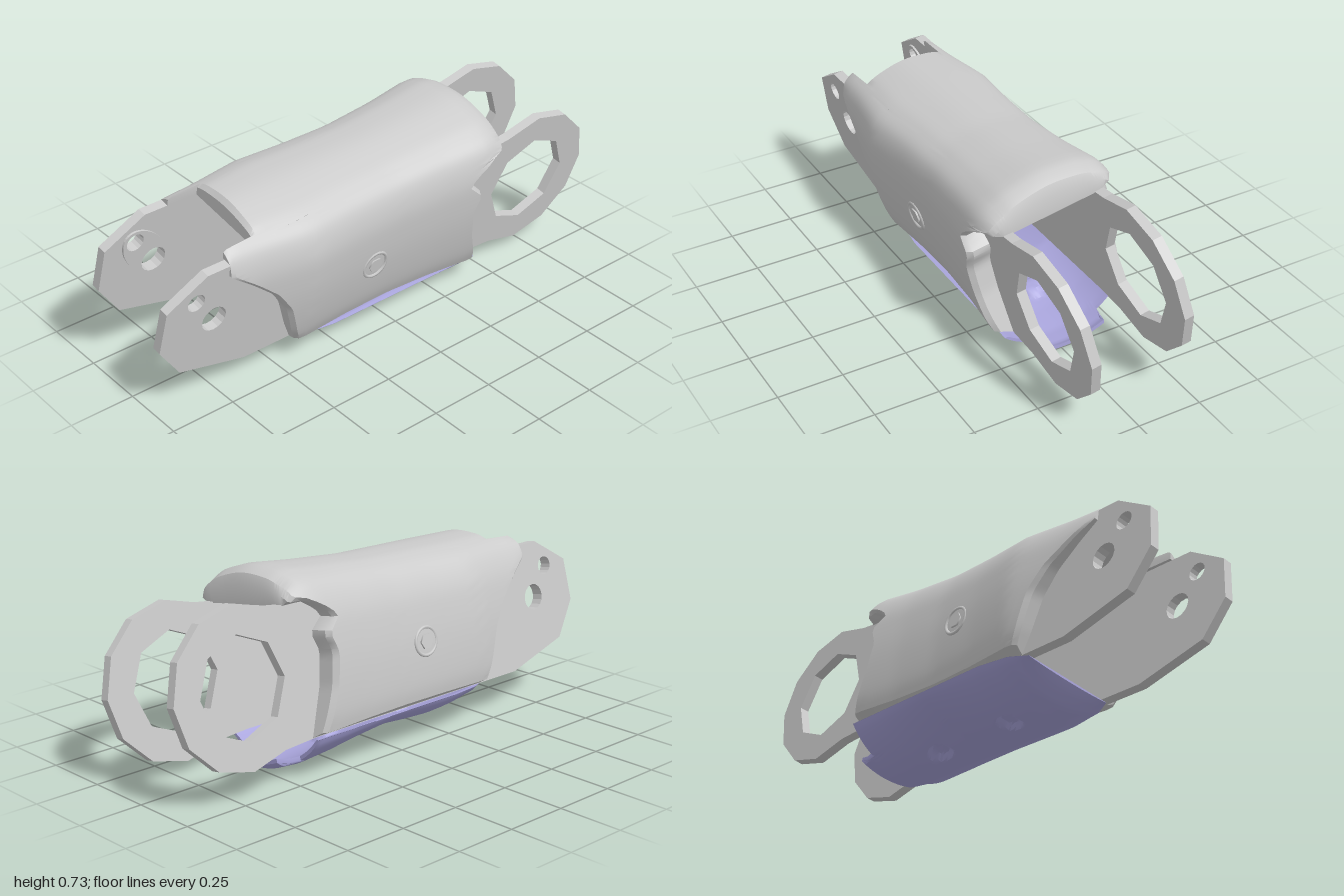
import * as THREE from 'three';
import { toCreasedNormals } from 'three/addons/utils/BufferGeometryUtils.js';

const U0 = -0.0625;      // centre line between the plates
const HALF = 0.2025;     // half distance over the plates
const FLOOR = 0.125;     // lower edge of the shell

const lerp = THREE.MathUtils.lerp;
const clamp = THREE.MathUtils.clamp;

// piecewise linear lookup in [key, value] pairs with rising keys
function table(pairs, k) {
  if (k <= pairs[0][0]) return pairs[0][1];
  for (let i = 1; i < pairs.length; i++) {
    const [k0, v0] = pairs[i - 1], [k1, v1] = pairs[i];
    if (k <= k1) return lerp(v0, v1, (k - k0) / (k1 - k0));
  }
  return pairs[pairs.length - 1][1];
}

// closed band of outer and inner sections, each column running from front(a) to back(a)
function band({ nu, nv, outer, inner, front, back }) {
  const pos = [], idx = [], rows = 2 * (nv + 1);
  for (let i = 0; i <= nu; i++) {
    const a = -1 + 2 * i / nu, zf = front(a), zb = back(a);
    for (let r = 0; r < rows; r++) {
      const isOuter = r <= nv, j = isOuter ? r : rows - 1 - r;
      const end = j === 0 || j === nv;
      const z = j === 0 ? zf : j === nv ? zb : lerp(zf - 0.015, zb + 0.015, (j - 1) / (nv - 2));
      const o = outer(a, z), n = inner(a, z);
      const f = isOuter ? (end ? 0.25 : 0) : 1;
      pos.push(U0 + lerp(o[0], n[0], f), lerp(o[1], n[1], f), z);
    }
  }
  for (let i = 0; i < nu; i++) for (let r = 0; r < rows; r++) {
    const s = (r + 1) % rows, a = i * rows, b = a + rows;
    idx.push(a + r, b + r, a + s, b + r, b + s, a + s);
  }
  const g = new THREE.BufferGeometry();
  g.setAttribute('position', new THREE.Float32BufferAttribute(pos, 3));
  g.setIndex(idx);
  return toCreasedNormals(g, 0.6);
}

function circle(z, v, r, n, turn = 0) {
  const pts = [];
  for (let k = 0; k < n; k++) {
    const t = turn + k / n * Math.PI * 2;
    pts.push(new THREE.Vector2(z + r * Math.cos(t), v + r * Math.sin(t)));
  }
  return new THREE.Path(pts);
}

// shape drawn in (z, height), thickened towards -x
function slab(shape, depth) {
  const g = new THREE.ExtrudeGeometry(shape, { depth, bevelEnabled: false, curveSegments: 20 });
  return g.rotateY(-Math.PI / 2);
}

export function createModel() {
  const model = new THREE.Group();
  const body = new THREE.Group();
  body.name = 'linkBody';
  body.rotation.z = -THREE.MathUtils.degToRad(10);
  model.add(body);
  const grey = new THREE.MeshStandardMaterial({ color: 0xcccccc, side: THREE.DoubleSide });
  const lilac = new THREE.MeshStandardMaterial({ color: 0xaaa6dd, side: THREE.DoubleSide });
  const add = (geo, name, mat = grey, x = 0, y = 0, z = 0) => {
    const m = new THREE.Mesh(geo, mat);
    m.name = name;
    m.position.set(x, y, z);
    body.add(m);
    return m;
  };

  // side plates: angular front end, straight web, faceted ring at the back
  const cz = -0.705, cv = 0.366;
  const outline = [[0.63, 0.123], [0.91, 0.2], [1, 0.336], [0.98, 0.503], [0.82, 0.6], [-0.42, 0.6]];
  for (let deg = 60; deg <= 300; deg += 30) {
    const t = THREE.MathUtils.degToRad(deg);
    outline.push([cz + 0.295 * Math.cos(t), cv + 0.29 * Math.sin(t)]);
  }
  outline.push([-0.42, 0.123]);
  const plate = new THREE.Shape(outline.map(p => new THREE.Vector2(...p)));
  const pinHoles = () => [circle(0.86, 0.498, 0.035, 16), circle(0.78, 0.387, 0.05, 16)];
  plate.holes.push(circle(cz, cv, 0.185, 8), ...pinHoles());
  const plateGeo = slab(plate, 0.037);
  add(plateGeo, 'leftPlate', grey, 0.14);
  add(plateGeo, 'rightPlate', grey, -0.228);

  // thin pad round the pin holes, inside the right plate
  const pad = new THREE.Shape();
  pad.absellipse(0.815, 0.435, 0.125, 0.072, 0, Math.PI * 2, false, 0.94);
  pad.holes.push(...pinHoles());
  add(slab(pad, 0.009), 'pinPad', grey, -0.22);

  // shell: arch over the plates, waisted in the middle
  const half = [[0.88, 0], [0.95, 0.12], [1, 0.35], [1, 0.55], [0.96, 0.72], [0.83, 0.865], [0.57, 0.95], [0.3, 0.985]];
  const arch = new THREE.CatmullRomCurve3([
    ...half.map(([u, v]) => new THREE.Vector3(-u, v, 0)),
    new THREE.Vector3(0, 1, 0),
    ...half.slice().reverse().map(([u, v]) => new THREE.Vector3(u, v, 0)),
  ]);
  const widths = [[-0.5, 0.285], [-0.39, 0.295], [-0.2, 0.272], [0, 0.26], [0.2, 0.265], [0.4, 0.28], [0.6, 0.25], [0.73, 0.24]];
  const tops = [[-0.5, 0.7], [-0.47, 0.73], [-0.43, 0.741], [-0.25, 0.72], [0, 0.698], [0.4, 0.688], [0.73, 0.68]];
  const shellOuter = (a, z) => {
    if (Math.abs(a) === 1) return [a * HALF, FLOOR];
    const p = arch.getPointAt((a + 1) / 2);
    return [p.x * table(widths, z), lerp(FLOOR, table(tops, z), p.y)];
  };
  const shellInner = (a, z) => {
    const [u, v] = shellOuter(a, z);
    return [clamp(u, -HALF, HALF), Math.min(v, 0.605)];
  };
  const frontEdge = [[0.125, 0.43], [0.2, 0.46], [0.33, 0.5], [0.42, 0.56], [0.5, 0.65], [0.56, 0.73]];
  const backEdge = [[0.125, -0.43], [0.3, -0.37], [0.42, -0.35], [0.49, -0.38], [0.55, -0.32], [0.59, -0.38], [0.64, -0.49], [0.7, -0.5]];
  add(band({
    nu: 96, nv: 28, outer: shellOuter, inner: shellInner,
    front: a => {
      const [u, v] = shellOuter(a, 0.6);
      return Math.abs(u) < 0.165 ? 0.61 : table(frontEdge, v);
    },
    back: a => table(backEdge, shellOuter(a, -0.4)[1]),
  }), 'shell');

  // side screws with a raised rim and a hexagonal head
  for (const s of [-1, 1]) {
    const x = U0 + s * 0.262;
    add(new THREE.TorusGeometry(0.052, 0.007, 6, 24).rotateY(Math.PI / 2), 'screwRim', grey, x, 0.357, 0.11);
    add(new THREE.CylinderGeometry(0.03, 0.03, 0.016, 6).rotateZ(Math.PI / 2), 'screwHead', grey, x, 0.357, 0.11);
  }

  // stop block under the roof of the shell
  add(new THREE.BoxGeometry(0.085, 0.1, 0.12), 'stopBlock', grey, -0.018, 0.567, 0);

  // underside cover: shallow dish with two dimples and a tongue at the back
  const coverWidths = [[-0.44, 0.243], [0.25, 0.243], [0.38, 0.225], [0.45, 0.19]];
  const depths = [[-0.53, 0.09], [-0.5, 0.108], [-0.42, 0.116], [-0.3, 0.105], [-0.2, 0.088], [-0.05, 0.066],
    [0.1, 0.08], [0.2, 0.086], [0.3, 0.08], [0.38, 0.062], [0.43, 0.03], [0.45, 0.01]];
  const coverOuter = (a, z) => {
    const u = -a * table(coverWidths, z);
    let v = 0.122 - table(depths, z) * Math.pow(1 - a * a, 0.8);
    for (const dz of [0.17, -0.2]) {
      const d = Math.hypot(u, z - dz);
      v += 0.022 * (1 - THREE.MathUtils.smoothstep(d, 0.03, 0.052));
    }
    return [u, v];
  };
  add(band({
    nu: 48, nv: 64, outer: coverOuter,
    inner: (a, z) => {
      const [u, v] = coverOuter(a, z);
      return [u, Math.min(v + 0.02, 0.123)];
    },
    front: () => 0.45,
    back: a => table([[0.46, -0.53], [0.54, -0.44]], Math.abs(a)),
  }), 'undersideCover', lilac);

  return model;
}
